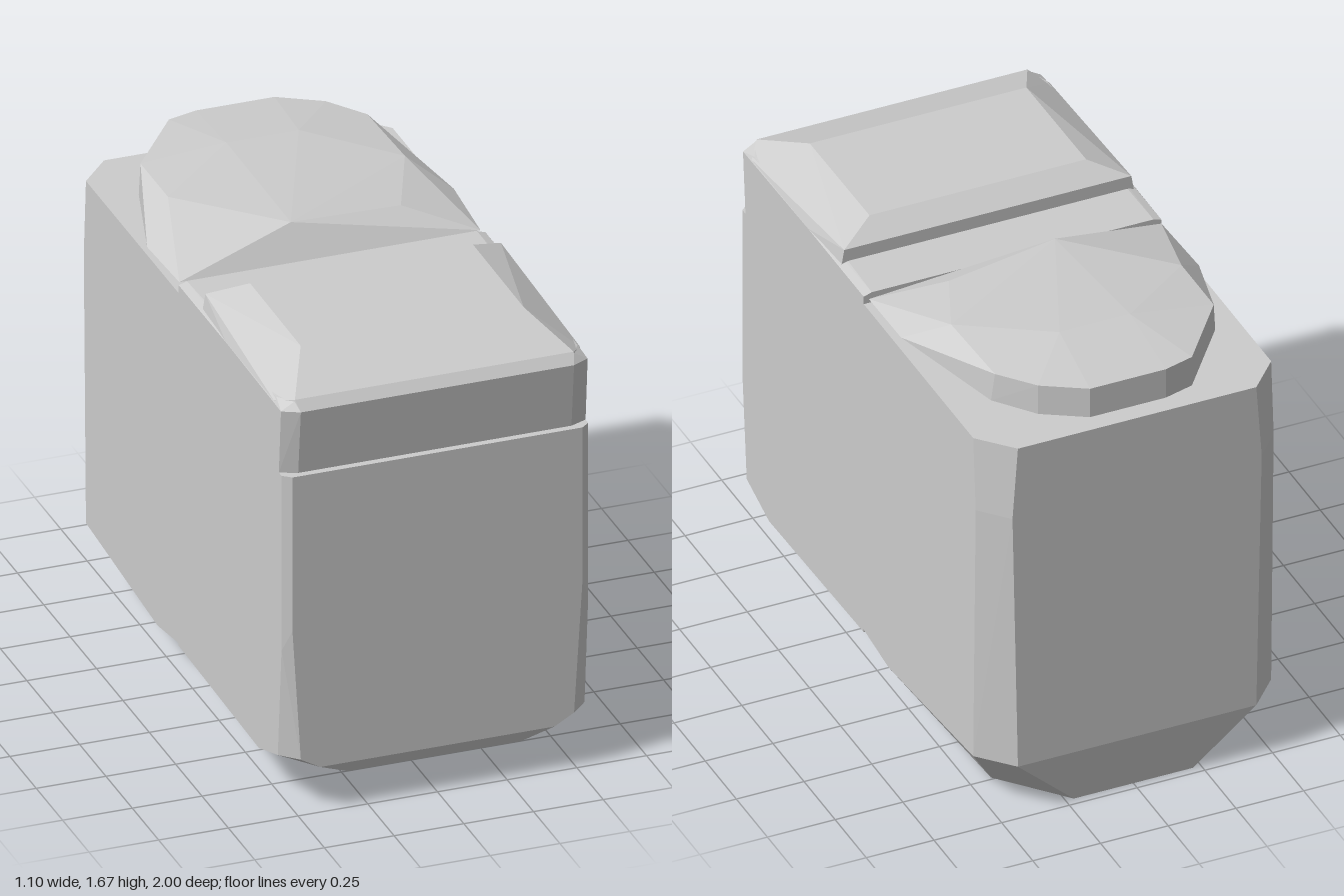
import * as THREE from 'three';
import { ConvexGeometry } from 'three/addons/geometries/ConvexGeometry.js';

export function createModel() {
  const model = new THREE.Group();
  const grey = new THREE.MeshStandardMaterial({ color: 0xcccccc });

  // Faceted block from corner points; mirrored across x unless told otherwise
  const block = (name, points, mirrored = true) => {
    const corners = [];
    for (const [x, y, z] of points) {
      corners.push(new THREE.Vector3(x, y, z));
      if (mirrored && x !== 0) corners.push(new THREE.Vector3(-x, y, z));
    }
    const mesh = new THREE.Mesh(new ConvexGeometry(corners), grey);
    mesh.name = name;
    model.add(mesh);
  };

  // Front half with narrow chamfered edges and a bevelled underside
  block('frontBody', [
    [0.52, 1.28, 1], [0.52, 0.7, 1], [0.49, 0.21, 1], [0.42, 0.17, 1], [0.31, 0.12, 0.97],
    [0.55, 1.28, 0.975], [0.55, 0.62, 0.975], [0.55, 0.21, 0.94],
    [0.55, 0.15, 0.76], [0.55, 0.17, 0], [0.31, 0.11, 0.9], [0.36, 0.11, 0],
    [0.55, 1.28, 0],
  ]);

  // Lid over the front half, its front leaning outwards
  block('frontLid', [
    [0.49, 1.28, 0.975], [0.55, 1.28, 0.95], [0.49, 1.52, 1], [0.55, 1.52, 0.97],
    [0.5, 1.55, 0.97], [0.54, 1.54, 0.9], [0.55, 1.53, 0.45],
    [0.55, 1.53, 0], [0.52, 1.54, 0], [0.55, 1.28, 0],
  ]);

  // Raised panel on the lid, ending in a small step
  block('lidPanel', [
    [0.49, 1.52, 1], [0.5, 1.555, 0.97], [0.55, 1.53, 0.9], [0.55, 1.53, 0.45],
    [0.4, 1.64, 0.76], [0.4, 1.63, 0.45], [0.4, 1.645, 0.28],
    [0.53, 1.59, 0.2], [0.54, 1.53, 0.2],
  ]);

  // Rear half with chamfered back corners
  block('rearBody', [
    [0.55, 1.5, 0], [0.55, 0.18, 0], [0.55, 0.15, -0.2],
    [0.55, 0.21, -0.88], [0.55, 1.22, -0.9], [0.55, 1.5, -0.88],
    [0.44, 1.5, -1], [0.46, 1.22, -1], [0.44, 0.21, -1],
    [0.17, 0, -0.1], [0.42, 0, -0.36], [0.42, 0, -0.74], [0.22, 0, -0.97],
  ]);

  // Rounded cap lying on the rear half
  block('rearCap', [
    [-0.54, 1.53, -0.02], [0.54, 1.53, -0.02], [-0.11, 1.64, -0.1], [0.3, 1.61, -0.14],
    [-0.55, 1.53, -0.3], [0.55, 1.55, -0.3], [-0.43, 1.64, -0.42], [0.42, 1.64, -0.42],
    [-0.13, 1.675, -0.66], [0.13, 1.675, -0.66], [-0.43, 1.64, -0.68], [0.41, 1.64, -0.75],
    [-0.23, 1.645, -0.94], [-0.12, 1.645, -0.97], [0.16, 1.645, -0.97], [0.31, 1.645, -0.88],
    [-0.44, 1.53, -0.67], [0.42, 1.53, -0.74], [-0.23, 1.53, -0.94], [-0.12, 1.53, -0.97],
    [0.16, 1.53, -0.97], [0.31, 1.53, -0.88],
    [-0.4, 1.49, -0.2], [0.4, 1.49, -0.2], [-0.25, 1.49, -0.8], [0.25, 1.49, -0.8],
  ], false);

  return model;
}
